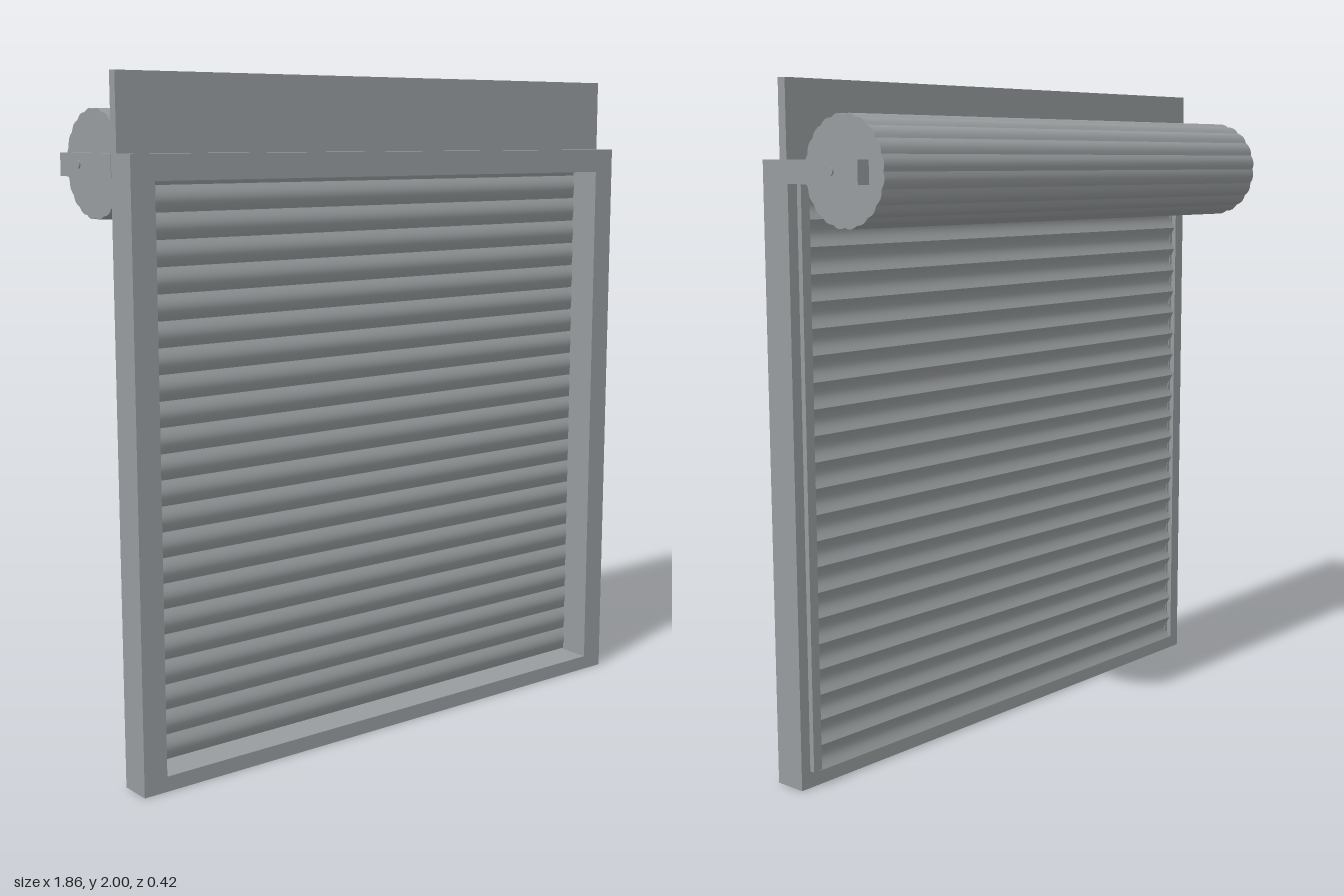
import * as THREE from 'three';
import { toCreasedNormals } from 'three/addons/utils/BufferGeometryUtils.js';

const COLOR = 0x989c9e;
const material = new THREE.MeshStandardMaterial({ color: COLOR });
const sheet = new THREE.MeshStandardMaterial({ color: COLOR, side: THREE.DoubleSide });

const MID = -0.0025; // shared centre line of the shutter in x
const AXIS_Y = 1.751, AXIS_Z = -0.055;

export function createModel() {
  const model = new THREE.Group();
  model.name = 'rollerShutter';

  const add = (name, geometry, mat = material) => {
    const mesh = new THREE.Mesh(geometry, mat);
    mesh.name = name;
    model.add(mesh);
    return mesh;
  };
  // Box given by its extents
  const box = (name, x0, x1, y0, y1, z0, z1) =>
    add(name, new THREE.BoxGeometry(x1 - x0, y1 - y0, z1 - z0))
      .position.set((x0 + x1) / 2, (y0 + y1) / 2, (z0 + z1) / 2);
  const rectangle = (target, x0, x1, y0, y1) => {
    target.moveTo(x0, y0);
    target.lineTo(x1, y0);
    target.lineTo(x1, y1);
    target.lineTo(x0, y1);
    target.closePath();
    return target;
  };

  // Door frame with a rectangular opening
  const outline = rectangle(new THREE.Shape(), -0.925, 0.918, 0, 1.782);
  outline.holes.push(rectangle(new THREE.Path(), -0.85, 0.843, 0.045, 1.71));
  const frame = new THREE.ExtrudeGeometry(outline, { depth: 0.1, bevelEnabled: false });
  add('frame', frame).position.z = 0.115;

  // Board above the frame
  box('headerBoard', -0.925, 0.918, 1.782, 2, 0.117, 0.145);

  // Guide rails and drum brackets on both sides
  for (const s of [-1, 1]) {
    const span = (a, b) => [MID + s * a, MID + s * b].sort((p, q) => p - q);
    box('guideRail', ...span(0.858, 0.888), 0.05, 1.72, 0.099, 0.116);
    box('drumBracket', ...span(0.884, 0.924), 1.717, 1.782, -0.162, 0.116);
  }

  // Curtain: curved slats bulging to the front, above a lip that meets the sill
  const pitch = 0.075, steps = 8, slats = 23;
  const positions = [], indices = [];
  const addStrip = (profile) => {
    const base = positions.length / 3;
    profile.forEach(([y, z], j) => {
      positions.push(MID - 0.862, y, z, MID + 0.862, y, z);
      if (j === 0) return;
      const k = base + (j - 1) * 2;
      indices.push(k, k + 1, k + 3, k, k + 3, k + 2);
    });
  };
  addStrip([[0.0455, 0.117], [0.0455, 0.105]]);
  for (let i = 0; i < slats; i++) {
    addStrip(Array.from({ length: steps + 1 }, (_, j) => {
      const t = j / steps;
      return [0.0455 + (i + t) * pitch, 0.105 + 0.013 * Math.sin(Math.PI * t)];
    }));
  }
  const curtain = new THREE.BufferGeometry();
  curtain.setAttribute('position', new THREE.Float32BufferAttribute(positions, 3));
  curtain.setIndex(indices);
  curtain.computeVertexNormals();
  add('curtain', curtain, sheet);

  // Rolled-up curtain on the drum: a ring of gently bulging slats
  const lobes = 20, parts = 4, ring = [];
  for (let i = 0; i < lobes * parts; i++) {
    const a = (i / (lobes * parts)) * Math.PI * 2;
    const r = 0.149 + 0.005 * Math.sin(Math.PI * (i % parts) / parts);
    ring.push(new THREE.Vector2(r * Math.cos(a), r * Math.sin(a)));
  }
  const roll = new THREE.ExtrudeGeometry(new THREE.Shape(ring), { depth: 1.75, bevelEnabled: false });
  roll.translate(0, 0, -0.875).rotateY(Math.PI / 2);
  add('curtainRoll', toCreasedNormals(roll, 0.4)).position.set(-0.005, AXIS_Y, AXIS_Z);

  // Axle through the drum and brackets
  const axle = new THREE.CylinderGeometry(0.012, 0.012, 1.857, 16).rotateZ(Math.PI / 2);
  add('axle', axle).position.set(MID, AXIS_Y, AXIS_Z - 0.004);

  return model;
}
